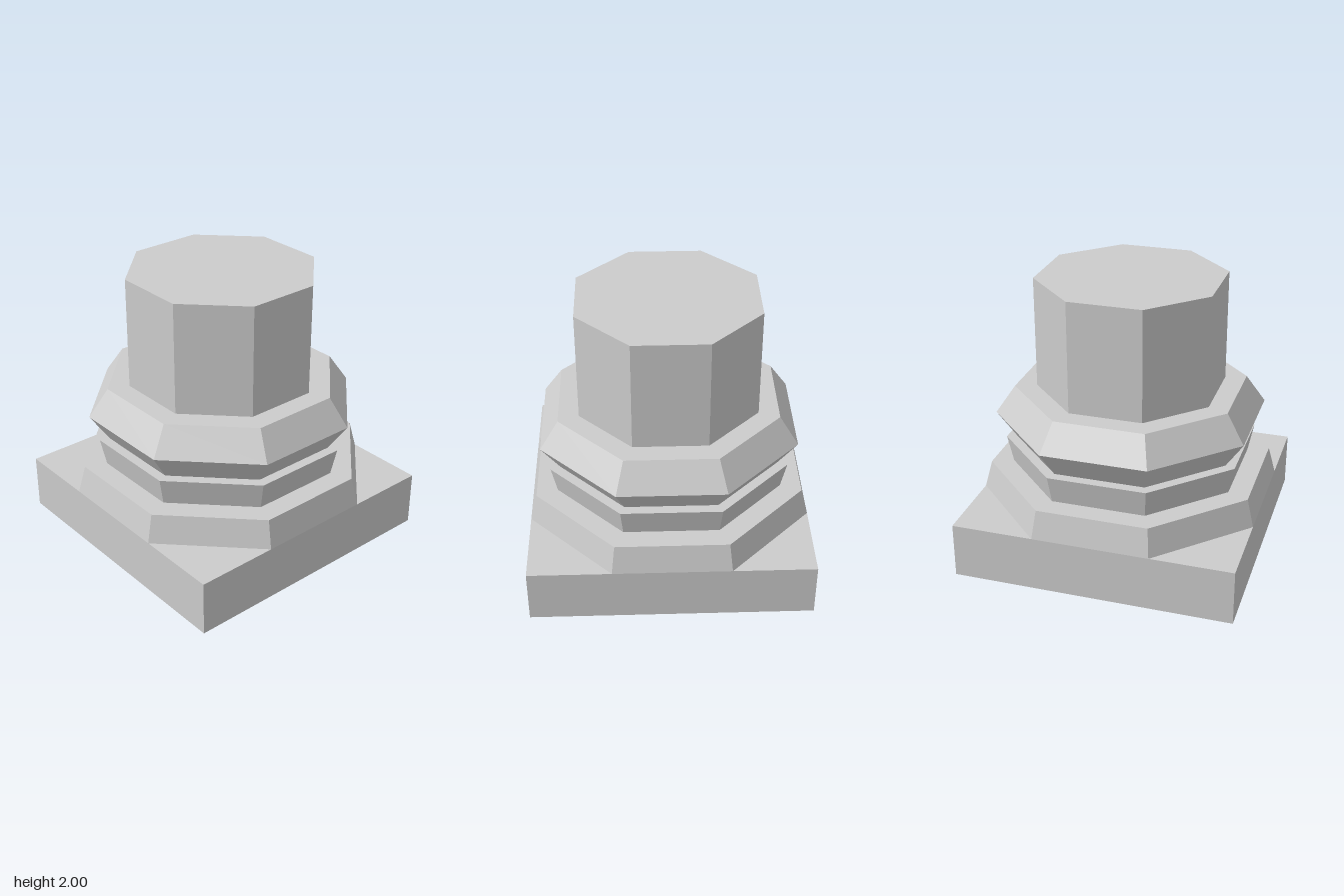
import * as THREE from 'three';

export function createModel() {
  const group = new THREE.Group();
  const material = new THREE.MeshStandardMaterial({ color: 0xcccccc, flatShading: true });

  function add(name, geometry) {
    const mesh = new THREE.Mesh(geometry, material);
    mesh.name = name;
    group.add(mesh);
    return mesh;
  }

  // Capped octagonal tier from [distance from axis to flat side, height] pairs, bottom to top
  function addOctagon(name, profile) {
    const toCorner = 1 / Math.cos(Math.PI / 8);
    const points = profile.map(([r, y]) => new THREE.Vector2(r * toCorner, y));
    points.unshift(new THREE.Vector2(0, profile[0][1]));
    points.push(new THREE.Vector2(0, profile[profile.length - 1][1]));
    return add(name, new THREE.LatheGeometry(points, 8, Math.PI / 8));
  }

  // Square slab under the column
  add('plinth', new THREE.BoxGeometry(2, 0.4, 2)).position.y = 0.2;

  // Octagonal mouldings and column
  addOctagon('lowerMoulding', [[1, 0.4], [0.95, 0.6]]);
  addOctagon('neck', [[0.8, 0.6], [0.84, 0.8]]);
  addOctagon('ringMoulding', [[0.77, 0.8], [0.9, 1], [0.77, 1.2]]);
  addOctagon('shaft', [[0.625, 1.2], [0.625, 2]]);

  return group;
}
